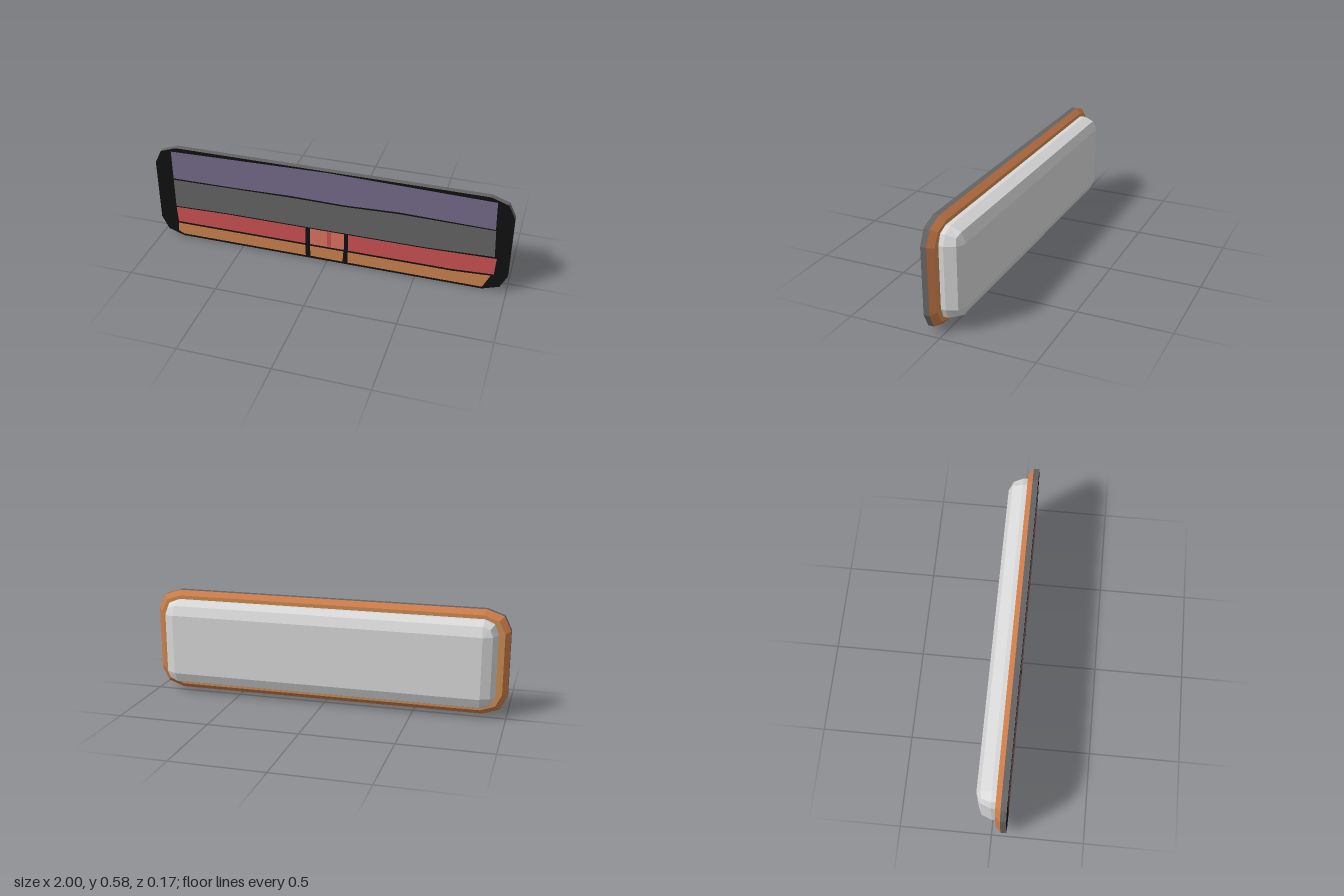
import * as THREE from 'three';

const CY = 0.29; // height of the centre line

const mat = (name, color, side = THREE.FrontSide) => {
  const m = new THREE.MeshStandardMaterial({ color, side });
  m.name = name;
  return m;
};

// Rectangle with two-step cut corners, counter-clockwise seen from the front
function ring(hw, hh, rx, ry, z, midZ = z) {
  const pts = [];
  [[1, -1], [1, 1], [-1, 1], [-1, -1]].forEach(([sx, sy], q) => {
    for (let k = 0; k < 3; k++) {
      const a = ((q - 1) * 2 + k) * Math.PI / 4;
      pts.push(new THREE.Vector3(
        sx * (hw - rx) + rx * Math.cos(a),
        CY + sy * (hh - ry) + ry * Math.sin(a),
        k === 1 ? midZ : z));
    }
  });
  return pts;
}

// Flat-shaded skin through rings ordered from front to back
function loft(rings) {
  const out = [];
  for (let r = 0; r + 1 < rings.length; r++) {
    const f = rings[r], b = rings[r + 1];
    f.forEach((p, i) => {
      const j = (i + 1) % f.length;
      out.push(p, b[i], f[j], f[j], b[i], b[j]);
    });
  }
  return finish(out);
}

// Flat fill of one ring, facing the back
function backCap(points) {
  const out = [];
  const c = new THREE.Vector3(0, CY, points[0].z);
  points.forEach((p, i) => out.push(c, points[(i + 1) % points.length], p));
  return finish(out);
}

function finish(points) {
  const g = new THREE.BufferGeometry().setFromPoints(points);
  g.computeVertexNormals();
  return g;
}

export function createModel() {
  const group = new THREE.Group();
  const black = mat('black', 0x101010);
  const grey = mat('grey', 0x646464);
  const purple = mat('purple', 0x74698a);
  const red = mat('red', 0xcc5152);
  const coral = mat('coral', 0xdc7260);
  const orange = mat('orange', 0xcb8250);
  const copper = mat('copper', 0xce7c49);
  const tan = mat('tan', 0xc98c52);
  const white = mat('paleGrey', 0xd8d8d8);

  const add = (name, geometry, material) => {
    const m = new THREE.Mesh(geometry, material);
    m.name = name;
    group.add(m);
  };
  const panel = (name, pts, z, material) => {
    const g = new THREE.ShapeGeometry(new THREE.Shape(pts.map(p => new THREE.Vector2(...p))));
    add(name, g.translate(0, 0, z), material);
  };

  // Rim, sloping back edge and flat back of the front plate
  const front = ring(1, 0.29, 0.13, 0.11, 0.0815);
  const edge = ring(1, 0.29, 0.13, 0.11, 0.05);
  const inner = ring(0.972, 0.263, 0.115, 0.095, 0.022);
  panel('frontFace', front.map(p => [p.x, p.y]), 0.0815, black);
  add('rim', loft([front, edge]), grey);
  add('rimBevel', loft([edge, inner]), copper);
  add('plateBack', backCap(inner), tan);

  // Rounded block on the back
  const last = ring(0.865, 0.169, 0.004, 0.004, -0.082);
  add('backBlock', loft([
    ring(0.938, 0.243, 0.075, 0.075, 0.022),
    ring(0.938, 0.243, 0.075, 0.075, -0.003),
    ring(0.916, 0.221, 0.053, 0.053, -0.06, -0.053),
    last,
  ]), white);
  add('backBlockFace', backCap(last), white);

  // Painted bands on the front
  const z = 0.083;
  panel('upperBand', [[-0.9, 0.382], [-0.55, 0.384], [-0.2, 0.392], [0.1, 0.388],
    [0.4, 0.4], [0.91, 0.39], [0.905, 0.555], [0, 0.574], [-0.9, 0.555]], z, purple);
  panel('middleBand', [[-0.9, 0.198], [-0.6, 0.206], [0.55, 0.206], [0.92, 0.22],
    [0.912, 0.384], [0.4, 0.39], [0.1, 0.379], [-0.2, 0.382], [-0.9, 0.373]], z, grey);
  panel('leftLowerBand', [[0.12, 0.095], [0.7, 0.095], [0.925, 0.107],
    [0.932, 0.21], [0.55, 0.2], [0.12, 0.2]], z, red);
  panel('rightLowerBand', [[-0.895, 0.095], [-0.125, 0.095], [-0.125, 0.2],
    [-0.6, 0.2], [-0.9, 0.192]], z, red);
  panel('leftBottomBand', [[0.12, 0.013], [0.87, 0.013], [0.91, 0.096], [0.7, 0.084], [0.12, 0.084]], z, orange);
  panel('rightBottomBand', [[-0.87, 0.013], [-0.125, 0.013], [-0.125, 0.084], [-0.895, 0.084], [-0.9, 0.03]], z, orange);
  panel('centreUpperTile', [[-0.098, 0.095], [0.097, 0.095], [0.097, 0.2], [-0.098, 0.2]], z, coral);
  panel('centreLowerTile', [[-0.098, 0.015], [0.09, 0.013], [0.095, 0.084], [-0.098, 0.084]], z, orange);
  panel('centreStripe', [[0, 0.1], [0.025, 0.1], [0.025, 0.197], [0, 0.197]], z + 0.0005, red);

  return group;
}
